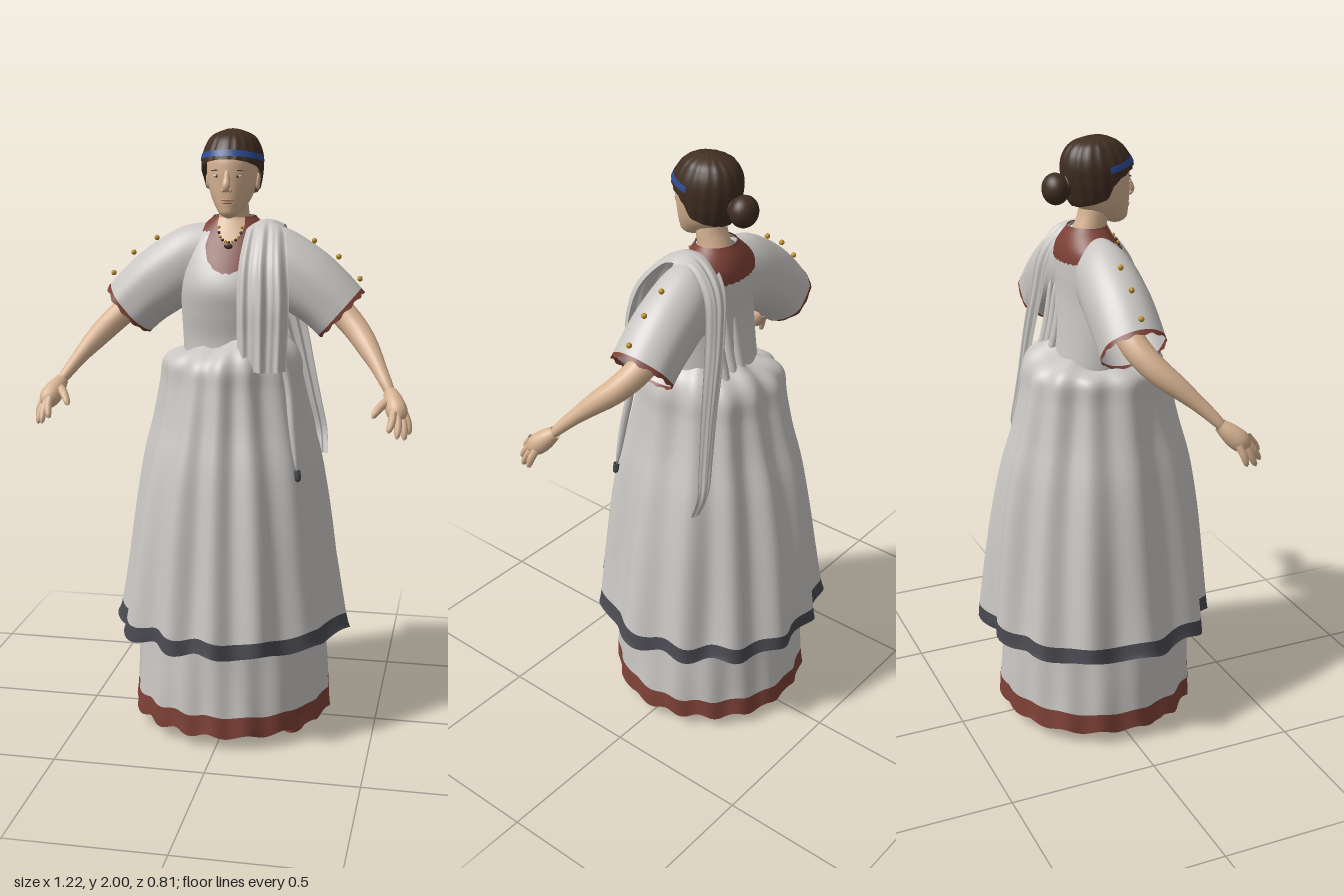
import * as THREE from 'three';

const mat = (name, color) => Object.assign(new THREE.MeshStandardMaterial({ color, side: THREE.DoubleSide }), { name });
const { sin, cos, abs, sqrt, max, PI } = Math;
const V = (p) => new THREE.Vector3(...p);
const mix = THREE.MathUtils.lerp;

// Grid surface from fn(u, v) -> [x, y, z]; wrap joins the u ends
function sheet(nu, nv, fn, wrap = false) {
  const pos = [], idx = [], cols = wrap ? nu : nu + 1;
  for (let j = 0; j <= nv; j++) for (let i = 0; i < cols; i++) pos.push(...fn(i / nu, j / nv));
  for (let j = 0; j < nv; j++) for (let i = 0; i < nu; i++) {
    const a = j * cols + i, b = j * cols + (i + 1) % cols;
    idx.push(a, b, a + cols, b, b + cols, a + cols);
  }
  const g = new THREE.BufferGeometry();
  g.setAttribute('position', new THREE.Float32BufferAttribute(pos, 3));
  g.setIndex(idx);
  g.computeVertexNormals();
  return g;
}

// Smooth interpolation of rows [key, ...values]
function table(rows) {
  const it = new THREE.CubicInterpolant(rows.map((r) => r[0]), rows.flatMap((r) => r.slice(1)), rows[0].length - 1);
  return (k) => Array.from(it.evaluate(k));
}

// Rounded limb through points [x, y, z, radius]
function limb(pts, nv = 16, nu = 14) {
  const curve = new THREE.CatmullRomCurve3(pts.map((p) => V(p.slice(0, 3))));
  const radius = table(pts.map((p, i) => [i / (pts.length - 1), p[3]]));
  const f = curve.computeFrenetFrames(nv);
  return sheet(nu, nv, (u, v) => {
    const k = Math.round(v * nv), r = radius(v)[0] * sqrt(max(0, 1 - v ** 10)), a = -u * 2 * PI;
    return curve.getPointAt(v).addScaledVector(f.normals[k], r * cos(a)).addScaledVector(f.binormals[k], r * sin(a)).toArray();
  }, true);
}

// Body and head sections: y, half width, front z, back z
const torsoRows = table([
  [1.25, .165, .13, -.15], [1.33, .168, .125, -.135], [1.42, .17, .14, -.125], [1.5, .17, .148, -.12],
  [1.58, .165, .115, -.12], [1.65, .145, .07, -.115], [1.69, .1, .047, -.1], [1.72, .066, .032, -.082]]);
const headRows = table([
  [1.722, .01, .09, .06], [1.732, .028, .107, .03], [1.755, .047, .113, -.02], [1.785, .064, .115, -.06], [1.83, .077, .116, -.08],
  [1.87, .082, .116, -.09], [1.91, .081, .11, -.092], [1.945, .068, .09, -.08], [1.97, .047, .062, -.055], [1.987, .006, .02, -.01]]);
function around(rows, a, y, off = 0) {
  const [w, f, b] = rows(y), m = (f + b) / 2, d = (f - b) / 2;
  return [(w + off) * sin(a), y, m + (d + off) * cos(a)];
}

export function createModel() {
  const model = new THREE.Group();
  const cloth = mat('pale cloth', 0xc9c6c3), trim = mat('red-brown trim', 0x7d4136), hem = mat('dark hem', 0x494a50);
  const skin = mat('skin', 0xd6b291), hair = mat('dark brown hair', 0x3f2d21), blue = mat('blue ribbon', 0x2a4a92);
  const gold = mat('gold', 0xb98d25), lip = mat('lips', 0xb58069), white = mat('eye white', 0xcfc4b6);
  const add = (name, geo, m) => {
    const mesh = new THREE.Mesh(geo, m);
    mesh.name = name;
    model.add(mesh);
    return mesh;
  };
  const ball = (name, m, p, s, n = 16) => {
    const b = add(name, new THREE.SphereGeometry(1, n, Math.ceil(n * .7)), m);
    b.position.set(...p);
    b.scale.set(...s);
    return b;
  };

  // Skirts: pleated rings whose last profile step is the coloured border; pinch narrows the hips sideways
  function skirt(name, profile, border, folds, depth, scallop, tilt, pinch) {
    const curve = new THREE.SplineCurve(profile.map((p) => new THREE.Vector2(...p)));
    const cut = (profile.length - 2) / (profile.length - 1);
    const point = (u, t) => {
      const a = u * 2 * PI, p = curve.getPoint(t), wave = cos(folds * a + .9 * sin(2 * a) + .6 * sin(3 * a));
      const r = p.x + depth * (.25 + .75 * t) * wave + depth * .3 * sin(5 * a + 7 * t);
      const lift = tilt * max(0, 1 - t * 4) * (sin(a) + .2 * sin(7 * a));
      return [r * sin(a) * (1 - pinch * sin(PI * t)), p.y + scallop * t * t * cos(folds * a + 1) + lift, r * cos(a)];
    };
    add(name, sheet(156, 48, (u, v) => point(u, v * cut), true), cloth);
    add(name + 'Border', sheet(156, 4, (u, v) => point(u, mix(cut, 1, v)), true), border);
  }
  skirt('overskirt', [[.14, 1.325], [.2, 1.298], [.234, 1.255], [.246, 1.18], [.272, 1.06], [.31, .92], [.342, .74],
    [.365, .56], [.384, .395], [.389, .345]], hem, 13, .017, .01, .035, .06);
  skirt('underskirt', [[.27, .7], [.31, .45], [.324, .25], [.332, .113], [.337, .045]], trim, 17, .006, .008, 0, 0);

  // Tunic body with neckline trim and bare throat
  add('tunicBody', sheet(56, 36, (u, v) => around(torsoRows, u * 2 * PI, mix(1.25, 1.72, v)), true), cloth);
  const patch = (name, m, a0, off, low) => add(name, sheet(96, 14, (u, v) => {
    const a = mix(-a0, a0, u);
    return around(torsoRows, a, mix(low(a), 1.722, v), off);
  }), m);
  patch('necklineTrim', trim, PI, .004, (a) => 1.675 - .125 * sqrt(max(0, 1 - (a / .55) ** 2))
    - .06 * max(0, -cos(a)) ** .3 + .003 * cos(a * 40));
  patch('throat', skin, .62, .007, (a) => 1.72 - .09 * (1 - abs(a) / .62));

  // Necklace
  for (let i = -5; i <= 5; i++) ball('necklaceBead', i % 2 ? gold : hair, around(torsoRows, i * .07, 1.645 + .045 * (i / 5) ** 2, .009), [.005, .005, .005], 8);
  ball('pendant', hair, around(torsoRows, 0, 1.634, .009), [.014, .01, .006], 10);

  // Head, neck and face
  add('neck', limb([[0, 1.62, -.035, .062], [0, 1.69, -.022, .054], [0, 1.75, -.005, .05], [0, 1.82, 0, .05]]), skin);
  add('head', sheet(40, 36, (u, v) => around(headRows, u * 2 * PI, mix(1.722, 1.987, v)), true), skin);
  add('nose', limb([[0, 1.872, .108, .008], [0, 1.845, .118, .01], [0, 1.82, .126, .013], [0, 1.808, .119, .012]]), skin);
  ball('upperLip', lip, [0, 1.781, .112], [.021, .004, .006]);
  ball('lowerLip', lip, [0, 1.773, .111], [.017, .005, .007]);
  for (const s of [-1, 1]) {
    ball('nostril', skin, [s * .01, 1.812, .118], [.008, .007, .01], 10);
    ball('eye', white, [s * .033, 1.855, .103], [.013, .005, .006], 12);
    ball('iris', hair, [s * .033, 1.855, .106], [.005, .005, .004], 10);
    ball('eyebrow', hair, [s * .035, 1.873, .103], [.018, .002, .006], 10).rotation.z = -s * .08;
    ball('ear', skin, [s * .081, 1.835, .005], [.009, .027, .016], 12);
  }

  // Hair cap, ribbon and bun
  add('hairCap', sheet(72, 26, (u, v) => {
    const a = u * 2 * PI, c = cos(a);
    const low = c > 0 ? mix(1.83, 1.908, sqrt(c)) : mix(1.83, 1.785, sqrt(-c));
    const [x, y, z] = around(headRows, a, mix(low, 1.987, 1 - (1 - v) ** 1.4), .015 + .002 * cos(a * 18));
    const close = sqrt(max(0, 1 - v ** 16));
    return [x * close, y + .013 * v, mix(.005, z, close)];
  }, true), hair);
  add('headRibbon', sheet(40, 2, (u, v) => {
    const a = mix(-1.55, 1.55, u);
    return around(headRows, a, 1.895 + .024 * cos(a) + .019 * v, .02);
  }), blue);
  ball('hairBun', hair, [0, 1.842, -.13], [.05, .05, .043], 24);
  const tie = add('bunTie', new THREE.TorusGeometry(.03, .008, 8, 24), hair);
  tie.position.set(0, 1.85, -.098);

  // Sleeves, arms, hands, legs and sandals
  const top = new THREE.SplineCurve([[.07, 1.7], [.17, 1.685], [.28, 1.622], [.36, 1.555], [.43, 1.48]].map((p) => new THREE.Vector2(...p)));
  const low = new THREE.SplineCurve([[.1, 1.43], [.155, 1.425], [.2, 1.4], [.245, 1.37], [.29, 1.33]].map((p) => new THREE.Vector2(...p)));
  const depth = table([[0, .08], [.3, .098], [1, .103]]);
  const tips = [[.602, 1.078, .247], [.59, 1.068, .285], [.568, 1.077, .311], [.541, 1.097, .318]];
  for (const s of [-1, 1]) {
    const m = (pts) => pts.map(([x, ...r]) => [s * x, ...r]);
    const sleeve = (u, t) => {
      const a = u * 2 * PI, p = top.getPoint(t), q = low.getPoint(t), k = (1 + cos(a)) / 2;
      return [s * mix(q.x, p.x, k), mix(q.y, p.y, k), -.022 + (depth(t)[0] + .003 * t * cos(6 * a)) * sin(a)];
    };
    add('sleeve', sheet(48, 24, (u, v) => sleeve(u, v * .935), true), cloth);
    add('sleeveTrim', sheet(72, 2, (u, v) => sleeve(u, mix(.935, .985 + .015 * cos(u * 24 * PI), v)), true), trim);
    for (const [x, y] of [[.262, 1.645], [.342, 1.595], [.412, 1.525]]) ball('sleeveButton', gold, [s * x, y, -.025], [.009, .009, .009], 12);

    add('arm', limb(m([[.2, 1.54, -.02, .05], [.34, 1.43, -.02, .046], [.41, 1.365, .02, .043], [.47, 1.295, .095, .037],
      [.525, 1.215, .175, .025], [.55, 1.175, .205, .024]]), 24, 18), skin);
    add('palm', limb(m([[.535, 1.2, .185, .021], [.55, 1.172, .215, .031], [.563, 1.145, .243, .034], [.57, 1.12, .265, .023]])), skin);
    tips.forEach(([x, y, z], i) => {
      const k = [.582 - i * .01, 1.145 + i * .003, .225 + i * .016];
      add('finger', limb(m([[...k, .013], [mix(k[0], x, .55) + .004, mix(k[1], y, .5), mix(k[2], z, .55), .012], [x, y, z, .009]]), 10, 8), skin);
    });
    add('thumb', limb(m([[.54, 1.18, .21, .017], [.512, 1.165, .245, .014], [.487, 1.133, .28, .01]]), 10, 8), skin);

    add('leg', limb([[s * .11, .7, 0, .075], [s * .15, .42, -.02, .058], [s * .19, .2, -.04, .04], [s * .2, .1, -.05, .032], [s * .2, .04, -.05, .032]], 20), skin);
    const foot = new THREE.Group();
    foot.name = 'foot';
    foot.position.set(s * .213, 0, .025);
    foot.rotation.y = s * .12;
    model.add(foot);
    const put = (mesh) => (foot.add(mesh), mesh);
    put(add('footBody', limb([[0, .04, -.115, .024], [0, .045, -.07, .033], [0, .042, .02, .033], [0, .03, .09, .026], [0, .027, .115, .012]]), skin));
    for (let i = 0; i < 5; i++) put(ball('toe', skin, [s * (i * .016 - .032), .026, .118 - i * i * .0025], [.01, .01, .02], 10));
    const sole = put(add('sandalSole', new THREE.CylinderGeometry(1, 1, .014, 32), trim));
    sole.position.y = .007;
    sole.scale.set(.052, 1, .142);
    for (const [y, z, r, rx] of [[.09, -.075, .034, PI / 2], [.04, .02, .034, 0], [.034, .08, .028, 0]]) {
      const strap = put(add('sandalStrap', new THREE.TorusGeometry(r, .006, 8, 24), trim));
      strap.position.set(0, y, z);
      strap.rotation.x = rx;
    }
  }

  // Stole: one folded length over the left shoulder; rows are x, y, z, half width
  const stoleRows = [[.125, 1.25, .215, .078], [.125, 1.36, .207, .082], [.125, 1.47, .2, .084], [.12, 1.58, .165, .078],
    [.115, 1.665, .095, .066], [.11, 1.712, .015, .055], [.113, 1.695, -.07, .052], [.125, 1.61, -.135, .05], [.15, 1.47, -.157, .048],
    [.185, 1.33, -.17, .044], [.215, 1.2, -.178, .038], [.242, 1.08, -.188, .034], [.265, .98, -.195, .03], [.275, .9, -.17, .024]];
  const stole = table(stoleRows.map((r, i) => [i / (stoleRows.length - 1), ...r]));
  add('stole', sheet(40, 90, (u, v) => {
    const [x, y, z, w] = stole(v), e = u * 2 - 1;
    const side = THREE.MathUtils.clamp(z / .08, -1, 1);
    const ripple = w * .085 * (cos(e * 9 + 3 * v) + .5 * cos(e * 17));
    return [x + e * w, y - .025 * e * e * (1 - abs(side)), z + side * (ripple - w * .35 * e * e)];
  }), cloth);
  add('stoleCord', limb([[.185, 1.32, .165, .012], [.21, 1.2, .165, .013], [.225, 1.08, .185, .012], [.246, .93, .203, .009]], 20, 8), cloth);
  add('cordTip', limb([[.246, .935, .203, .01], [.248, .915, .205, .011], [.25, .895, .207, .009]], 6, 8), hem);
  // Soft pleats on the back of the tunic
  for (const x of [.02, .06, .1]) add('backPleat', limb([[x, 1.3, -.145, .016], [x, 1.4, -.122, .015], [x + .005, 1.53, -.107, .008]], 12, 8), cloth);

  return model;
}
